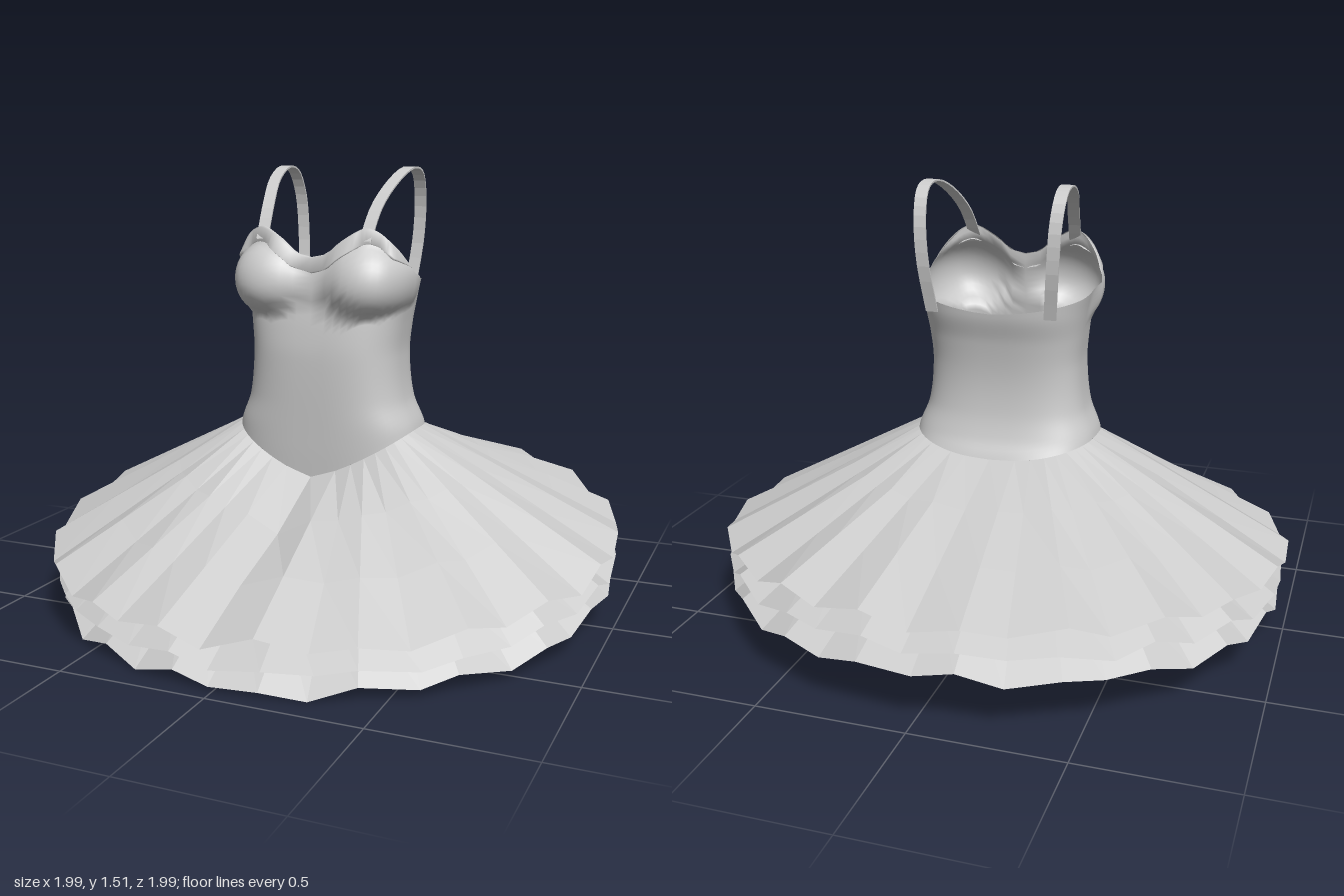
import * as THREE from 'three';

const smooth = new THREE.MeshStandardMaterial({ color: 0xcccccc, side: THREE.DoubleSide });
const faceted = new THREE.MeshStandardMaterial({ color: 0xcccccc, side: THREE.DoubleSide, flatShading: true });
const { lerp, clamp } = THREE.MathUtils;

// Smooth curve through [x, y] points (cubic Hermite).
function curve(points) {
  const slope = (i) => {
    const a = points[Math.max(i - 1, 0)], b = points[Math.min(i + 1, points.length - 1)];
    return (b[1] - a[1]) / (b[0] - a[0]);
  };
  return (x) => {
    let i = 0;
    while (i < points.length - 2 && x > points[i + 1][0]) i++;
    const [x0, y0] = points[i], [x1, y1] = points[i + 1], h = x1 - x0;
    const t = clamp((x - x0) / h, 0, 1), s = 1 - t;
    return y0 * (1 + 2 * t) * s * s + y1 * t * t * (3 - 2 * t) + h * t * s * (slope(i) * s - slope(i + 1) * t);
  };
}

// Sheet of quads from a point rule f(u, v, column, row); columns may wrap around.
function sheet(name, f, cols, rows, wrap, material) {
  const pos = [], index = [], n = wrap ? cols : cols + 1;
  for (let r = 0; r <= rows; r++)
    for (let c = 0; c < n; c++) pos.push(...f(c / cols, r / rows, c, r));
  for (let r = 0; r < rows; r++)
    for (let c = 0; c < cols; c++) {
      const a = r * n + c, b = r * n + ((c + 1) % n);
      index.push(a, b, b + n, a, b + n, a + n);
    }
  const g = new THREE.BufferGeometry();
  g.setAttribute('position', new THREE.Float32BufferAttribute(pos, 3));
  g.setIndex(index);
  g.computeVertexNormals();
  const mesh = new THREE.Mesh(g, material);
  mesh.name = name;
  return mesh;
}

// Bodice profiles against height
const halfWidth = curve([[0.49, 0.33], [0.65, 0.32], [0.75, 0.282], [0.9, 0.265], [1.0, 0.272], [1.1, 0.287], [1.2, 0.305], [1.33, 0.295]]);
const frontZ = curve([[0.49, 0.225], [0.6, 0.23], [0.9, 0.238], [1.0, 0.23], [1.1, 0.215], [1.2, 0.21], [1.33, 0.205]]);
const backZ = curve([[0.49, -0.23], [0.6, -0.207], [0.66, -0.178], [0.75, -0.155], [0.87, -0.15], [1.0, -0.168], [1.1, -0.195], [1.33, -0.21]]);
// Sweetheart neckline: height against angle from the front
const neckline = curve([[0, 1.232], [0.08, 1.245], [0.22, 1.287], [0.5, 1.328], [0.72, 1.318], [0.95, 1.28], [1.15, 1.245], [1.35, 1.21], [1.5, 1.178], [1.7, 1.158], [2.3, 1.138], [Math.PI, 1.105]]);

const power = (v) => Math.sign(v) * Math.abs(v) ** 0.7;
const fold = (a) => Math.abs(Math.atan2(Math.sin(a), Math.cos(a)));
const top = (a) => neckline(fold(a));
const waist = (a) => {
  const s = Math.abs(power(Math.sin(a)));
  return Math.cos(a) > 0 ? 0.49 + 0.16 * s ** 1.3 : 0.6 + 0.05 * s * s;
};

// Point on the bodice at an angle and height, with rounded cups at the front
function body(a, y, offset = 0) {
  const sx = power(Math.sin(a)), cz = power(Math.cos(a)), mid = 0.03;
  let x = halfWidth(y) * sx;
  let z = mid + cz * (cz > 0 ? frontZ(y) - mid : mid - backZ(y));
  if (cz > 0) {
    const dx = (Math.abs(x) - 0.18) / 0.145, dy = (y - 1.14) / (y > 1.14 ? 0.135 : 0.1);
    const h = 0.08 * Math.max(0, 1 - dx * dx - dy * dy) ** 0.7;
    x += Math.sign(x) * h * 0.5 * Math.abs(sx);
    z += h * Math.min(1, 1.3 * cz);
  }
  return [x + offset * Math.sin(a), y, z + offset * Math.cos(a)];
}

// Repeatable noise from -1 to 1
const noise = (i) => {
  const v = Math.sin(i * 127.1 + 31.7) * 43758.5453;
  return 2 * (v - Math.floor(v)) - 1;
};

// One pleated skirt layer, from the waist seam to a wavy, forward-tilted hem
function skirtLayer(name, k) {
  const pleats = 40, meanY = 0.279 - 0.081 * k;
  return sheet(name, (u, t, c) => {
    const a = u * Math.PI * 2;
    const start = body(a, waist(a));
    const wave = 0.013 * (c % 2 ? 1 : -1) + 0.015 * noise(c + 60 * k);
    const r = 0.995 - 0.012 * k + 0.004 * noise(c + 300 + 60 * k);
    const shift = 0.02 * noise(c + 500 + 60 * k);
    const end = [r * Math.sin(a + shift), Math.max(0, meanY - 0.09 * Math.cos(a) + wave), r * Math.cos(a + shift) + 0.008 - 0.014 * k];
    const p = start.map((s, i) => lerp(s, end[i], t));
    p[1] -= 0.008 * k * (1 - t);
    // Centre-front crease below the point of the bodice
    if (c === 0 && k === 0 && t > 0 && t < 0.5) p[1] -= 0.02;
    return p;
  }, pleats, 3, true, faceted);
}

export function createModel() {
  const model = new THREE.Group();
  model.name = 'balletDress';

  model.add(sheet('bodice', (u, v) => {
    const a = u * Math.PI * 2;
    return body(a, lerp(waist(a), top(a), v));
  }, 72, 36, true, smooth));

  // Raised band along the front neckline
  const bandRows = [[0.05, 0], [0.045, 0.012], [0.0, 0.012], [-0.004, 0]];
  model.add(sheet('necklineBand', (u, v, c, r) => {
    const a = (u - 0.5) * 2.8, taper = Math.min(1, 6 * Math.min(u, 1 - u));
    const [drop, out] = bandRows[r];
    return body(a, top(a) - drop * taper, out * taper);
  }, 48, 3, false, smooth));

  // Gusset running from the front seam between the leg openings to the back seam
  // Columns: centre y, centre z, half width, edge lift, edge shift in z
  const rows = [
    [0.49, 0.225, 0.31, 0.14, -0.15], [0.4, 0.2, 0.16, 0.08, -0.04], [0.29, 0.14, 0.06, 0.02, -0.01],
    [0.21, 0.03, 0.028, 0, 0], [0.23, -0.08, 0.026, 0, 0], [0.37, -0.16, 0.032, 0.01, 0.005],
    [0.5, -0.195, 0.09, 0.04, 0.02], [0.6, -0.206, 0.3, 0.045, 0.11],
  ];
  const gusset = [0, 1, 2, 3, 4].map((k) => curve(rows.map((row, i) => [i, row[k]])));
  model.add(sheet('gusset', (u, v) => {
    const [y, z, w, lift, shift] = gusset.map((g) => g(v * 7));
    const s = u * 2 - 1, a = v < 0.5 ? s * 1.35 : Math.PI - s * 1.35;
    const seam = body(a, waist(a));
    const blend = Math.max(0, 1 - 7 * Math.min(v, 1 - v));
    return [w * s, y + lift * Math.abs(s) ** 1.4, z + shift * s * s].map((p, i) => lerp(p, seam[i], blend));
  }, 14, 28, false, smooth));

  ['topSkirtLayer', 'middleSkirtLayer', 'bottomSkirtLayer'].forEach((name, k) => model.add(skirtLayer(name, k)));

  // Thin ribbon straps arching from the cups to the back
  for (const side of [1, -1]) {
    const path = new THREE.CatmullRomCurve3([
      [0.185, 1.29, 0.2], [0.197, 1.4, 0.125], [0.22, 1.485, 0.02], [0.233, 1.525, -0.1],
      [0.235, 1.505, -0.175], [0.23, 1.42, -0.22], [0.222, 1.28, -0.226], [0.205, 1.1, -0.19],
    ].map(([x, y, z]) => new THREE.Vector3(side * x, y, z)));
    const corners = [[-0.021, -0.003], [0.021, -0.003], [0.021, 0.003], [-0.021, 0.003]];
    model.add(sheet(side > 0 ? 'leftStrap' : 'rightStrap', (u, v, c) => {
      const p = path.getPoint(v), t = path.getTangent(v);
      const [w, d] = corners[c];
      const n = new THREE.Vector3(1, 0, 0).cross(t).normalize();
      return [p.x + w, p.y + n.y * d, p.z + n.z * d];
    }, 4, 24, true, faceted));
  }

  return model;
}
